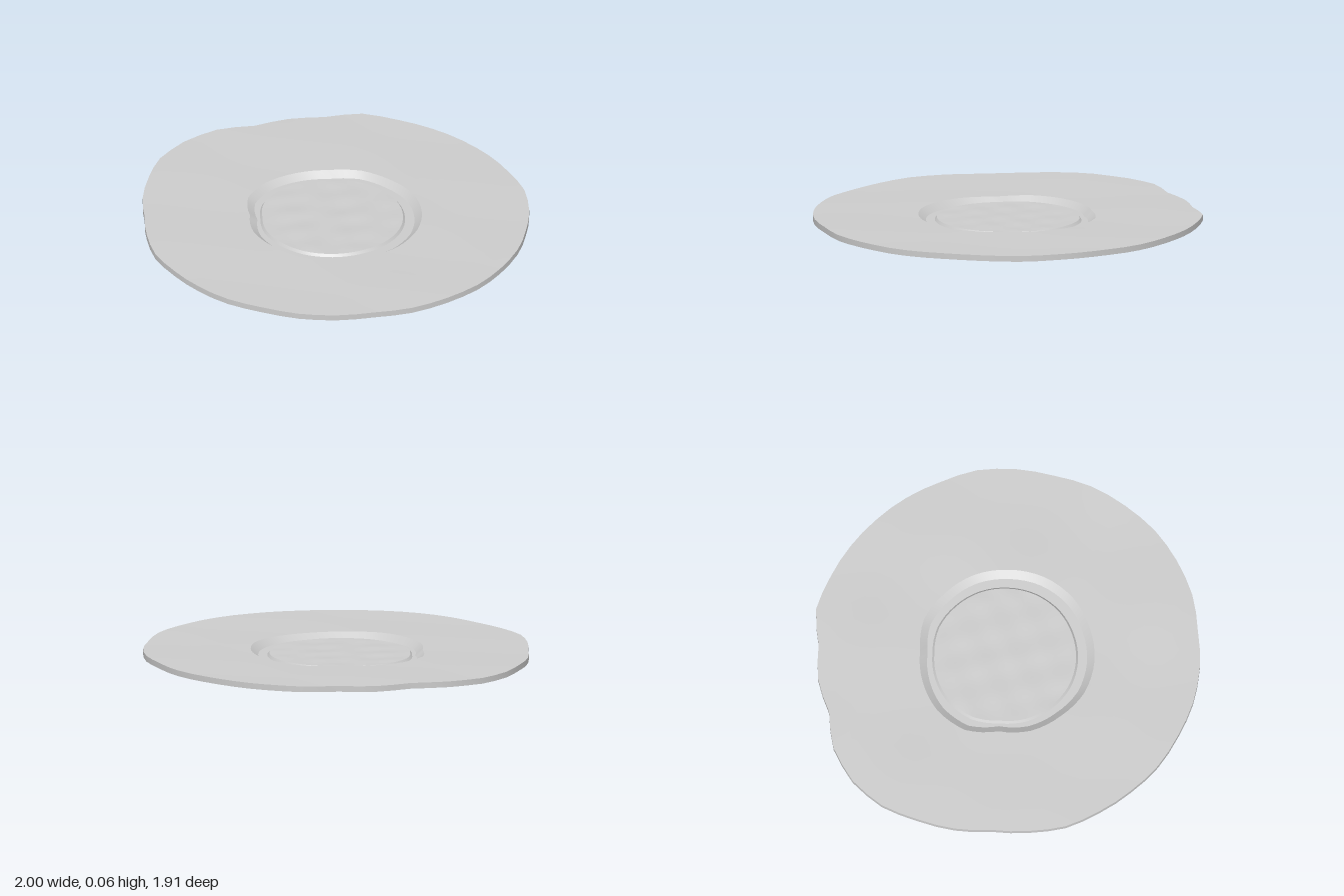
import * as THREE from 'three';
import { toCreasedNormals } from 'three/addons/utils/BufferGeometryUtils.js';

const SEG = 64;
// Uneven radii, starting at +x and turning towards +z
const OUTLINE = [1, .995, .99, .973, .976, .973, .964, .963, .953, .95, .954, .936, .923, .945, .965, .996,
  1, .976, .916, .929, .92, .963, .955, .955, .957, .964, .969, .987, .987, .983, .993, .995];
const BASIN = [.46, .452, .452, .447, .428, .42, .4, .437, .438, .425, .415, .44, .44, .45, .453, .46];

// Radius from a looped list, u in 0..1
function sample(list, u) {
  const f = u * list.length, i = Math.floor(f), k = f - i;
  const a = list[i % list.length], b = list[(i + 1) % list.length];
  return a + (b - a) * k;
}
const edge = u => sample(OUTLINE, u);
const basin = u => sample(BASIN, u);
const disc = u => 0.18 + 0.42 * basin(u);
const offset = (fn, d) => u => fn(u) + d;
const mix = (f, g, k) => u => f(u) * (1 - k) + g(u) * k;

// Hand-shaped unevenness of the surfaces
const wave = (x, z) => (Math.sin(7 * x + 3 * z + 1) + Math.sin(5 * z - 9 * x) + Math.sin(11 * z + 4 * x + 2)) / 3;
const ripple = (x, z) => (Math.sin(38 * x + 11 * z) + Math.sin(33 * z - 17 * x + 1) + Math.sin(24 * x + 29 * z + 2)) / 3;

// Loops of [radius function, height, wave amount, ripple amount], joined in order
function loft(rows) {
  const pos = [], index = [];
  for (const [radius, y, w = 0, r = 0] of rows) {
    for (let j = 0; j < SEG; j++) {
      const u = j / SEG, a = u * Math.PI * 2, R = radius(u);
      const x = R * Math.cos(a), z = R * Math.sin(a);
      pos.push(x, y + w * wave(x, z) + r * ripple(x, z), z);
    }
  }
  for (let i = 0; i < rows.length - 1; i++) {
    for (let j = 0; j < SEG; j++) {
      const k = (j + 1) % SEG;
      const a = i * SEG + j, b = i * SEG + k, c = a + SEG, d = b + SEG;
      index.push(a, b, c, b, d, c);
    }
  }
  const g = new THREE.BufferGeometry();
  g.setAttribute('position', new THREE.Float32BufferAttribute(pos, 3));
  g.setIndex(index);
  return toCreasedNormals(g, 0.42);
}

export function createModel() {
  const group = new THREE.Group();
  const material = new THREE.MeshStandardMaterial({ color: 0xcccccc });
  const add = (parent, name, rows) => {
    const mesh = new THREE.Mesh(loft(rows), material);
    mesh.name = name;
    parent.add(mesh);
  };
  const steps = n => Array.from({ length: n + 1 }, (_, i) => i / n);

  // Wide flat rim: top outwards, edge wall, underside back inwards
  const under = offset(basin, 0.008);
  add(group, 'rim', [
    ...steps(8).map(k => [mix(basin, edge, k), 0.06, 0.005]),
    ...steps(8).map(k => [mix(edge, under, k), 0.031, 0.005]),
  ]);

  // Sunken basin: sloped wall and narrow flat ledge
  const well = new THREE.Group();
  well.name = 'basin';
  add(well, 'basinTop', [[disc, 0.03], [offset(basin, -0.037), 0.03], [basin, 0.06, 0.005]]);
  add(well, 'basinUnderside', [[under, 0.031, 0.005], [offset(basin, -0.03), 0], [disc, 0]]);
  group.add(well);

  // Slightly raised rippled centre, with its small step above and below
  const inner = offset(disc, -0.01), centre = () => 0.0005;
  const floor = new THREE.Group();
  floor.name = 'centreDisc';
  add(floor, 'centreTop', [
    ...steps(10).map(k => [mix(centre, inner, k), 0.043, 0, 0.003 * (k < 1 ? 1 : 0)]),
    [disc, 0.03],
  ]);
  add(floor, 'centreUnderside', [
    [disc, 0],
    ...steps(10).map(k => [mix(inner, centre, k), 0.015, 0, 0.003 * (k > 0 ? 1 : 0)]),
  ]);
  group.add(floor);

  return group;
}
